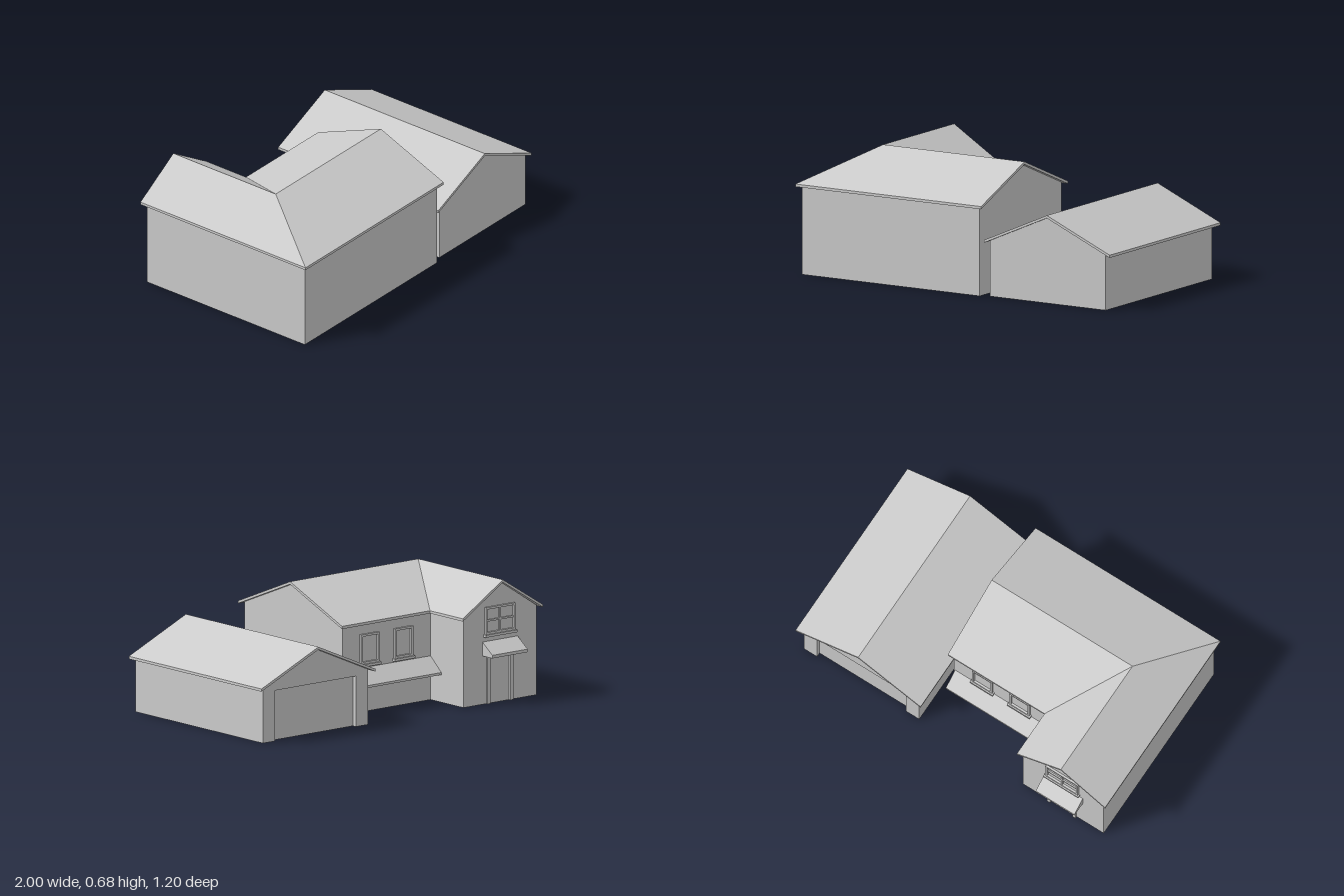
import * as THREE from 'three';

const mat = new THREE.MeshStandardMaterial({ color: 0xcccccc, flatShading: true, side: THREE.DoubleSide });

function add(parent, name, geo, x = 0, y = 0, z = 0) {
  const m = new THREE.Mesh(geo, mat);
  m.name = name;
  m.position.set(x, y, z);
  parent.add(m);
  return m;
}

// Flat faces from convex corner loops
function facesGeometry(faces) {
  const pos = [];
  for (const f of faces)
    for (let i = 1; i < f.length - 1; i++) pos.push(...f[0], ...f[i], ...f[i + 1]);
  const g = new THREE.BufferGeometry();
  g.setAttribute('position', new THREE.Float32BufferAttribute(pos, 3));
  g.computeVertexNormals();
  return g;
}

// Roof slab: sloped top faces, matching underside and a fascia round the edge
function roofGeometry(faces, edge, thickness) {
  const low = ([x, y, z]) => [x, y - thickness, z];
  const all = [...faces, ...faces.map(f => f.map(low).reverse())];
  edge.forEach((a, i) => {
    const b = edge[(i + 1) % edge.length];
    all.push([low(a), low(b), b, a]);
  });
  return facesGeometry(all);
}

function outline(points) {
  return new THREE.Shape(points.map(p => new THREE.Vector2(...p)));
}

// Upright wall panel between two ground points
function wall(parent, name, [x0, z0], [x1, z1], h) {
  add(parent, name, facesGeometry([[[x0, 0, z0], [x1, 0, z1], [x1, h, z1], [x0, h, z0]]]));
}

function box(parent, name, x0, x1, y0, y1, z0, z1) {
  add(parent, name, new THREE.BoxGeometry(x1 - x0, y1 - y0, z1 - z0),
    (x0 + x1) / 2, (y0 + y1) / 2, (z0 + z1) / 2);
}

// Wedge canopy sticking out toward -z
function canopy(parent, name, x0, x1, wallZ, reach, bottom, lip, top) {
  const s = outline([[0, bottom], [reach, bottom], [reach, lip], [0, top]]);
  const g = new THREE.ExtrudeGeometry(s, { depth: x1 - x0, bevelEnabled: false });
  g.rotateY(Math.PI / 2);
  add(parent, name, g, x0, 0, wallZ);
}

// Framed window on a wall facing -z, with sill and optional cross bars
function windowUnit(parent, x0, x1, y0, y1, z, bars) {
  const g = new THREE.Group();
  g.name = 'window';
  const t = 0.012, out = z - 0.012;
  box(g, 'frameSide', x0, x0 + t, y0, y1, out, z);
  box(g, 'frameSide', x1 - t, x1, y0, y1, out, z);
  box(g, 'frameTop', x0, x1, y1 - t, y1, out, z);
  box(g, 'frameBottom', x0, x1, y0, y0 + t, out, z);
  box(g, 'sill', x0 - 0.008, x1 + 0.008, y0 - 0.014, y0, z - 0.02, z);
  if (bars) {
    const cx = (x0 + x1) / 2, cy = (y0 + y1) / 2;
    box(g, 'uprightBar', cx - 0.005, cx + 0.005, y0, y1, z - 0.008, z);
    box(g, 'crossBar', x0, x1, cy - 0.005, cy + 0.005, z - 0.008, z);
  }
  parent.add(g);
}

function buildHouse() {
  const g = new THREE.Group();
  g.name = 'house';
  const xL = -0.975, xI = -0.455, xR = 0.17, zF = 0.575, zM = -0.245, zB = -0.52, h = 0.497;

  // Walls
  wall(g, 'frontWall', [xL, zF], [xR, zF], h);
  wall(g, 'sideWall', [xL, zB], [xL, zF], h);
  wall(g, 'wingInnerWall', [xI, zM], [xI, zB], h);
  wall(g, 'rearWall', [xR, zM], [xI, zM], h);
  add(g, 'sideGableWall', facesGeometry([
    [[xR, 0, zF], [xR, 0, zM], [xR, h, zM], [xR, 0.662, 0.165], [xR, h, zF]]]));
  add(g, 'wingGableWall', facesGeometry([
    [[xI, 0, zB], [xL, 0, zB], [xL, h, zB], [-0.715, 0.662, zB], [xI, h, zB]]]));

  // L-shaped roof with one hip and one valley
  const e = 0.5, r = 0.677;
  const hip = [-1, e, 0.6], frontEave = [0.195, e, 0.6], gablePeak = [0.195, r, 0.165];
  const rearEave = [0.195, e, -0.27], valley = [-0.43, e, -0.27], wingIn = [-0.43, e, -0.545];
  const wingPeak = [-0.715, r, -0.545], wingOut = [-1, e, -0.545], ridge = [-0.715, r, 0.165];
  add(g, 'houseRoof', roofGeometry([
    [hip, frontEave, gablePeak, ridge],
    [hip, ridge, wingPeak, wingOut],
    [gablePeak, rearEave, valley, ridge],
    [ridge, valley, wingIn, wingPeak],
  ], [hip, frontEave, gablePeak, rearEave, valley, wingIn, wingPeak, wingOut], 0.015));

  // Rear windows and long canopy
  windowUnit(g, -0.082, 0.048, 0.265, 0.43, zM, false);
  windowUnit(g, -0.322, -0.192, 0.265, 0.43, zM, false);
  canopy(g, 'rearCanopy', xI, 0.165, zM, 0.09, 0.152, 0.165, 0.243);

  // Wing window, door frame and door canopy
  windowUnit(g, -0.815, -0.605, 0.385, 0.535, zB, true);
  for (const x of [-0.8, -0.637]) box(g, 'doorPost', x, x + 0.02, 0, 0.268, zB - 0.012, zB);
  box(g, 'doorLintel', -0.8, -0.617, 0.248, 0.268, zB - 0.012, zB);
  canopy(g, 'doorCanopy', -0.84, -0.59, zB, 0.083, 0.268, 0.285, 0.345);
  return g;
}

function buildGarage() {
  const g = new THREE.Group();
  g.name = 'garage';
  const x0 = 0.22, x1 = 0.965, zF = 0.55, zB = -0.515, h = 0.307, mid = 0.595;
  const d0 = 0.305, d1 = 0.88, dh = 0.28, inset = 0.025;

  // Walls; the rear one is notched for the door
  wall(g, 'sideWall', [x1, zF], [x1, zB], h);
  wall(g, 'sideWall', [x0, zB], [x0, zF], h);
  const top = [[x1, h], [mid, 0.472], [x0, h]];
  add(g, 'frontGableWall', new THREE.ShapeGeometry(outline([[x0, 0], [x1, 0], ...top])), 0, 0, zF);
  add(g, 'rearGableWall', new THREE.ShapeGeometry(outline(
    [[x0, 0], [d0, 0], [d0, dh], [d1, dh], [d1, 0], [x1, 0], ...top])), 0, 0, zB);

  // Recessed door with its jambs and head
  const zi = zB + inset;
  wall(g, 'garageDoor', [d1, zi], [d0, zi], dh);
  wall(g, 'doorJamb', [d0, zB], [d0, zi], dh);
  wall(g, 'doorJamb', [d1, zB], [d1, zi], dh);
  add(g, 'doorHead', facesGeometry([[[d0, dh, zB], [d1, dh, zB], [d1, dh, zi], [d0, dh, zi]]]));

  // Gable roof
  const e = 0.31, r = 0.487, f = 0.565, b = -0.545;
  const fl = [0.192, e, f], fm = [mid, r, f], fr = [1, e, f];
  const bl = [0.192, e, b], bm = [mid, r, b], br = [1, e, b];
  add(g, 'garageRoof', roofGeometry([[fl, fm, bm, bl], [fm, fr, br, bm]],
    [fl, fm, fr, br, bm, bl], 0.015));
  return g;
}

export function createModel() {
  const model = new THREE.Group();
  model.name = 'houseWithGarage';
  model.add(buildHouse(), buildGarage());
  return model;
}
